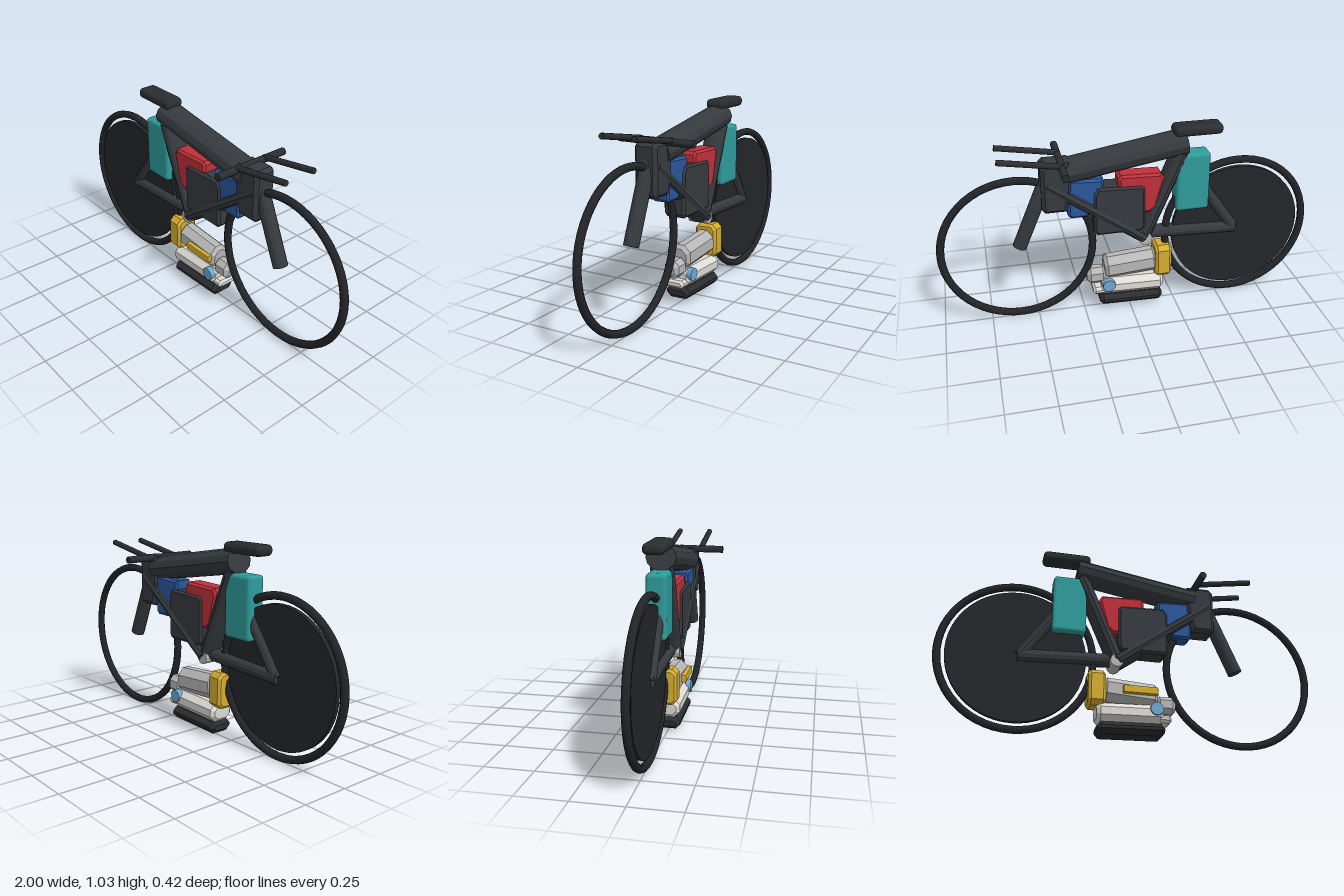
import * as THREE from 'three';
import { RoundedBoxGeometry } from 'three/addons/geometries/RoundedBoxGeometry.js';

const paint = (color, flatShading = true) => new THREE.MeshStandardMaterial({ color, flatShading });

export function createModel() {
  const model = new THREE.Group();
  model.name = 'motorcycle';
  const rubber = paint(0x222428, false), dark = paint(0x363a3e), black = paint(0x2b2d30);
  const red = paint(0xc0303b), teal = paint(0x2f9c9c), blue = paint(0x2a569c);
  const yellow = paint(0xd6ad30), grey = paint(0xb8b8b8), white = paint(0xdedcd6), sky = paint(0x6fa8d0);

  const add = (name, geometry, material, x = 0, y = 0, z = 0) => {
    const mesh = new THREE.Mesh(geometry, material);
    mesh.name = name;
    mesh.position.set(x, y, z);
    model.add(mesh);
    return mesh;
  };

  // tube between two points, with its own half width across z
  const tube = (name, a, b, r, rz = r, material = dark, sides = 12) => {
    const from = new THREE.Vector3(...a), to = new THREE.Vector3(...b);
    const dir = to.clone().sub(from);
    const geometry = new THREE.CylinderGeometry(r, r, dir.length(), sides);
    geometry.scale(1, 1, rz / r);
    const mesh = add(name, geometry, material);
    mesh.position.copy(from).add(to).multiplyScalar(0.5);
    mesh.quaternion.setFromUnitVectors(new THREE.Vector3(0, 1, 0), dir.normalize());
    return mesh;
  };

  // outline extruded to a given depth, with one chamfer inside the outline
  const slab = (points, depth, bevel) => {
    const shape = new THREE.Shape(points.map(([x, y]) => new THREE.Vector2(x, y)));
    const geometry = new THREE.ExtrudeGeometry(shape, {
      depth: depth - 2 * bevel, bevelEnabled: true, bevelSegments: 1,
      bevelSize: bevel, bevelThickness: bevel, bevelOffset: -bevel,
    });
    return geometry.translate(0, 0, bevel - depth / 2);
  };

  // eight-sided block lying along x
  const block = (length, height, width, cut, bevel) => {
    const h = height / 2, w = width / 2;
    const outline = [[w, -h + cut], [w, h - cut], [w - cut, h], [cut - w, h],
      [-w, h - cut], [-w, cut - h], [cut - w, -h], [w - cut, -h]];
    return slab(outline, length, bevel).rotateY(Math.PI / 2);
  };

  // wheels, the rear one with a solid disc
  const wheelY = 0.415;
  for (const [name, x] of [['rearTyre', -0.587], ['frontTyre', 0.587]]) {
    add(name, new THREE.TorusGeometry(0.391, 0.02, 10, 56), rubber, x, wheelY);
  }
  const disc = new THREE.CylinderGeometry(0.354, 0.354, 0.024, 56).rotateX(Math.PI / 2);
  add('rearDisc', disc, paint(0x24262a), -0.587, wheelY);

  // frame
  tube('topTube', [-0.294, 0.94, 0], [0.35, 0.832, 0], 0.065, 0.076);
  tube('downTube', [0.425, 0.785, 0], [-0.075, 0.425, 0], 0.04, 0.07);
  tube('seatTube', [-0.27, 0.89, 0], [-0.075, 0.43, 0], 0.042, 0.06);
  tube('seatStay', [-0.285, 0.83, 0], [-0.575, 0.415, 0], 0.032, 0.037);
  tube('chainStay', [-0.585, 0.415, 0], [-0.075, 0.437, 0], 0.036, 0.037);
  const head = [[0.33, 0.63], [0.44, 0.63], [0.455, 0.65], [0.455, 0.88], [0.435, 0.9], [0.31, 0.9], [0.3, 0.76]];
  add('headBlock', slab(head, 0.125, 0.018), dark);
  tube('fork', [0.405, 0.84, 0], [0.578, 0.43, 0], 0.038);
  tube('pivot', [-0.08, 0.42, -0.055], [-0.08, 0.42, 0.055], 0.035, 0.035, grey);

  // handlebar and two forward bars
  tube('handlebar', [0.351, 0.892, -0.21], [0.351, 0.892, 0.21], 0.019, 0.019, black);
  for (const side of [-1, 1]) {
    tube(side > 0 ? 'leftBar' : 'rightBar', [0.345, 0.898, side * 0.088],
      [0.662, 0.952, side * 0.088], 0.015, 0.015, black);
  }

  // seat and boxes carried in the frame
  add('seat', new RoundedBoxGeometry(0.255, 0.055, 0.104, 3, 0.024), black, -0.353, 1.002);
  add('rearBox', new RoundedBoxGeometry(0.178, 0.32, 0.1, 2, 0.018), teal, -0.331, 0.72);
  const redOutline = [[-0.178, 0.76], [-0.135, 0.6], [-0.1, 0.575], [0.04, 0.575], [0.065, 0.6],
    [0.065, 0.78], [0.05, 0.797], [-0.16, 0.79]];
  add('redBox', slab(redOutline, 0.1, 0.012), red);
  const blueOutline = [[0.14, 0.79], [0.14, 0.73], [0.225, 0.585], [0.31, 0.585], [0.325, 0.6], [0.325, 0.8]];
  add('blueBox', slab(blueOutline, 0.1, 0.012), blue);
  const batteryOutline = [[-0.075, 0.5], [-0.055, 0.475], [0.175, 0.475], [0.193, 0.495],
    [0.193, 0.71], [0.17, 0.745], [-0.06, 0.735], [-0.075, 0.72]];
  add('battery', slab(batteryOutline, 0.122, 0.012), dark);

  // engine under the frame
  const tilt = (mesh, angle) => { mesh.rotation.z = angle; };
  add('engineRearCover', block(0.09, 0.19, 0.126, 0.025, 0.014), yellow, -0.18, 0.266);
  tilt(add('engineUpper', block(0.285, 0.132, 0.112, 0.036, 0.018), grey, -0.003, 0.258), -0.07);
  add('engineNose', block(0.105, 0.095, 0.085, 0.026, 0.02), grey, 0.182, 0.207);
  add('engineStrip', new RoundedBoxGeometry(0.18, 0.04, 0.03, 1, 0.005), yellow, 0.04, 0.26, 0.064);
  tilt(add('engineLower', block(0.34, 0.1, 0.136, 0.03, 0.018), white, -0.01, 0.142), 0.03);
  add('engineLip', block(0.1, 0.042, 0.115, 0.014, 0.012), white, 0.155, 0.124);
  tilt(add('engineBase', block(0.345, 0.064, 0.138, 0.024, 0.018), black, -0.003, 0.06), 0.03);

  // round covers on both sides of the engine
  for (const side of [-1, 1]) {
    const cover = new THREE.CylinderGeometry(0.034, 0.034, 0.03, 16).rotateX(Math.PI / 2);
    add(side > 0 ? 'leftCover' : 'rightCover', cover, sky, 0.123, 0.166, side * 0.063);
  }
  return model;
}
